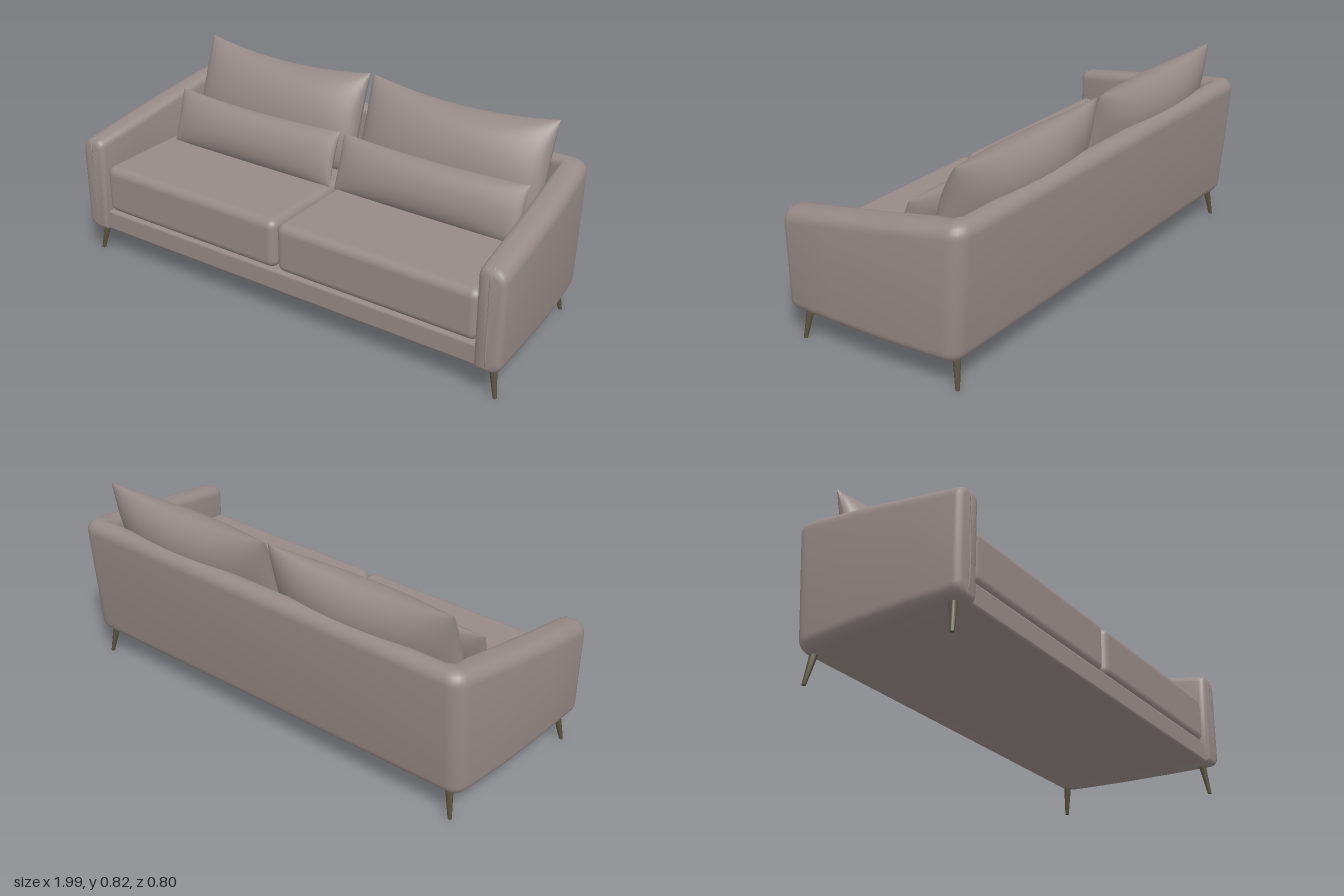
import * as THREE from 'three';
import { mergeGeometries, toCreasedNormals } from 'three/addons/utils/BufferGeometryUtils.js';
import { RoundedBoxGeometry } from 'three/addons/geometries/RoundedBoxGeometry.js';

const BOTTOM = 0.118;
const clamp = THREE.MathUtils.clamp;

// Rounded wall section: a runs from the inner face (0) to the outer face (w)
function wallSection(w, top, inset) {
  const pts = [];
  const lo = inset, hi = w - inset, y0 = BOTTOM + inset, y1 = top - inset;
  const corner = (a, y, r, sa, sy, start) => {
    for (let k = 0; k <= 6; k++) {
      const t = start + (k / 6) * Math.PI / 2;
      pts.push([a + sa * r + r * Math.cos(t), y + sy * r + r * Math.sin(t)]);
    }
  };
  corner(hi, y0, 0.045 - inset * 0.6, -1, 1, -Math.PI / 2);
  corner(hi, y1, 0.05 - inset * 0.6, -1, -1, 0);
  corner(lo, y1, 0.032 - inset * 0.6, 1, -1, Math.PI / 2);
  corner(lo, y0, 0.02 - inset * 0.6, 1, 1, Math.PI);
  return pts;
}

// Arms and back as one U-shaped wall lofted through sections
function shellGeometry() {
  // outer x, outer z, inner x, inner z, inset of the section
  const half = [
    [0.998, 0.392, 0.888, 0.392, 0.022],
    [0.998, 0.388, 0.888, 0.388, 0.011],
    [0.998, 0.380, 0.888, 0.380, 0.004],
    [0.997, 0.365, 0.887, 0.365, 0],
    [0.990, 0.180, 0.876, 0.180, 0],
    [0.977, -0.050, 0.862, -0.040, 0],
    [0.955, -0.270, 0.848, -0.240, 0],
  ];
  for (let k = 0; k <= 6; k++) {
    const t = (k / 6) * Math.PI / 2;
    half.push([0.88 + 0.066 * Math.cos(t), -0.334 - 0.066 * Math.sin(t), 0.845 - 0.002 * k, -0.312 - 0.001 * k, 0]);
  }
  const stations = [...half, ...half.slice().reverse().map(([a, b, c, d, e]) => [-a, b, -c, d, e])];
  const pos = [], idx = [];
  let n = 0;
  for (const [ox, oz, ix, iz, inset] of stations) {
    const w = Math.hypot(ox - ix, oz - iz);
    const top = 0.535 + 0.12 * clamp((0.36 - oz) / 0.72, 0, 1);
    const loop = wallSection(w, top, inset);
    n = loop.length;
    for (const [a, y] of loop) {
      const f = a / w, z = iz + (oz - iz) * f;
      const lean = 0.04 * clamp(-z / 0.4, 0, 1) * clamp((0.62 - y) / 0.5, 0, 1);
      pos.push(ix + (ox - ix) * f, y, z + lean);
    }
  }
  const last = (stations.length - 1) * n;
  for (let i = 0; i < last; i += n) {
    for (let j = 0; j < n; j++) {
      const k = (j + 1) % n;
      idx.push(i + j, i + n + j, i + n + k, i + j, i + n + k, i + k);
    }
  }
  for (let j = 1; j < n - 1; j++) idx.push(0, j, j + 1, last, last + j + 1, last + j);
  const g = new THREE.BufferGeometry();
  g.setAttribute('position', new THREE.Float32BufferAttribute(pos, 3));
  g.setIndex(idx);
  return toCreasedNormals(g, 0.7);
}

// Knife-edge pillow: two puffed sheets, with the top edge dipping between its corners
function pillowGeometry(hw, hh, depth, dip) {
  const sheets = [1, -1].map((side) => {
    const g = new THREE.PlaneGeometry(2, 2, 28, 20);
    if (side < 0) g.rotateY(Math.PI);
    const p = g.attributes.position;
    for (let i = 0; i < p.count; i++) {
      const u = Math.sin(p.getX(i) * Math.PI / 2), v = Math.sin(p.getY(i) * Math.PI / 2);
      const cu = Math.max(0, 1 - u * u), cv = Math.max(0, 1 - v * v);
      const sag = v > 0 ? dip * cu * v * v : 0;
      p.setXYZ(i, u * (hw - 0.008 * cv), v * hh - sag, side * depth * Math.pow(cu, 0.45) * Math.pow(cv, 0.6));
    }
    g.computeVertexNormals();
    return g;
  });
  return mergeGeometries(sheets);
}

export function createModel() {
  const fabric = new THREE.MeshStandardMaterial({ color: 0x968a87 });
  fabric.name = 'taupe fabric';
  const legPaint = new THREE.MeshStandardMaterial({ color: 0x58523f });
  legPaint.name = 'dark olive leg';

  const sofa = new THREE.Group();
  sofa.name = 'sofa';
  const add = (name, geometry, material, x = 0, y = 0, z = 0) => {
    const m = new THREE.Mesh(geometry, material);
    m.name = name;
    m.position.set(x, y, z);
    sofa.add(m);
    return m;
  };

  add('armsAndBack', shellGeometry(), fabric);
  add('baseRail', new RoundedBoxGeometry(1.81, 0.092, 0.71, 3, 0.012), fabric, 0, 0.166, 0.019);

  const seat = new RoundedBoxGeometry(0.888, 0.21, 0.7, 5, 0.035);
  const backPillow = pillowGeometry(0.416, 0.213, 0.118, 0.036);
  const lumbarPillow = pillowGeometry(0.416, 0.116, 0.063, 0.014);

  for (const s of [1, -1]) {
    const side = s > 0 ? 'left' : 'right';
    add(side + 'SeatCushion', seat, fabric, s * 0.447, 0.314, 0.023);
    add(side + 'BackPillow', backPillow, fabric, s * 0.425, 0.618, -0.235).rotation.x = -0.32;
    add(side + 'LumbarPillow', lumbarPillow, fabric, s * 0.425, 0.525, -0.05).rotation.x = -0.32;

    // Seam piping down the front of the arm
    const seam = new THREE.CatmullRomCurve3([
      [0.943, 0.533, 0.366], [0.943, 0.515, 0.39], [0.941, 0.35, 0.392], [0.941, 0.16, 0.392], [0.941, 0.125, 0.38],
    ].map(([x, y, z]) => new THREE.Vector3(s * x, y, z)));
    add(side + 'ArmPiping', new THREE.TubeGeometry(seam, 24, 0.004, 6), fabric);

    // Tapered, splayed legs: top and bottom centres
    for (const [name, top, foot] of [
      ['FrontLeg', [0.943, 0.13, 0.333], [0.968, 0, 0.35]],
      ['BackLeg', [0.875, 0.13, -0.316], [0.897, 0, -0.334]],
    ]) {
      const g = new THREE.CylinderGeometry(0.016, 0.008, 0.13, 16);
      const p = g.attributes.position;
      for (let i = 0; i < p.count; i++) {
        const f = p.getY(i) / 0.13 + 0.5;
        const mid = foot.map((c, k) => c + (top[k] - c) * f);
        p.setXYZ(i, s * mid[0] + p.getX(i), mid[1], mid[2] + p.getZ(i));
      }
      add(side + name, toCreasedNormals(g, 0.8), legPaint);
    }
  }
  return sofa;
}
